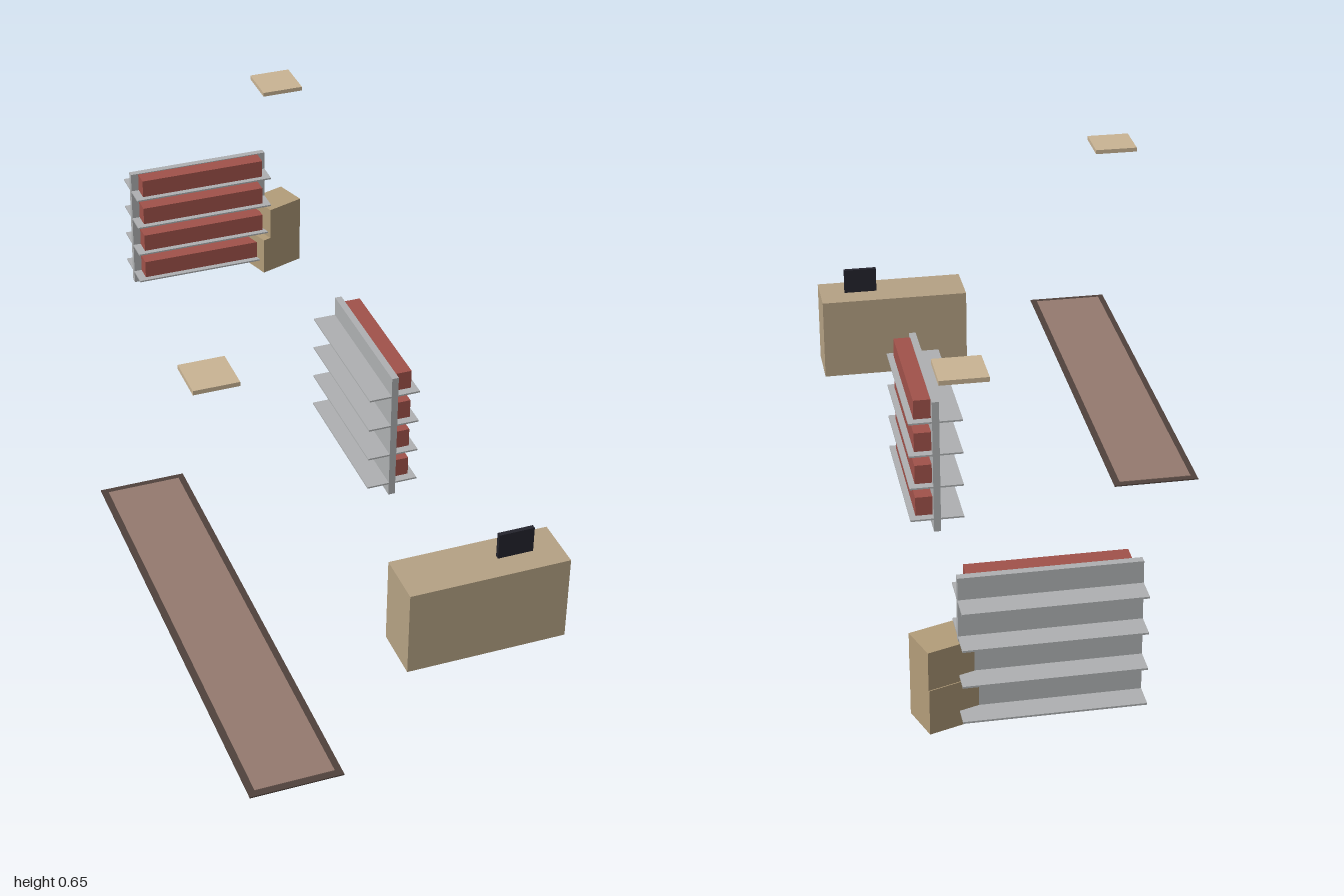
import * as THREE from 'three';

const mat = (name, color) => {
  const m = new THREE.MeshStandardMaterial({ color });
  m.name = name;
  return m;
};

export function createModel() {
  const model = new THREE.Group();
  const grey = mat('shelfGrey', 0xaeb0b2);
  const red = mat('goodsRed', 0xa0524a);
  const wood = mat('counterWood', 0xb5a284);
  const pale = mat('panelCream', 0xc9b494);
  const card = mat('cardboard', 0xb39d7a);
  const dark = mat('screenBlack', 0x23232c);
  const rugEdge = mat('rugBorder', 0x50423c);
  const rugMid = mat('rugCentre', 0x957a6f);

  // Box given its size, centre x/z and base height
  const box = (parent, name, material, w, h, d, x, y, z) => {
    const mesh = new THREE.Mesh(new THREE.BoxGeometry(w, h, d), material);
    mesh.name = name;
    mesh.position.set(x, y + h / 2, z);
    parent.add(mesh);
    return mesh;
  };

  // Rug with a dark border
  box(model, 'rugBorder', rugEdge, 0.2, 0.003, 1.07, -0.3, 0, 0.465);
  box(model, 'rugCentre', rugMid, 0.17, 0.002, 1.04, -0.3, 0.0025, 0.465);

  // Counter and its screen
  box(model, 'counter', wood, 0.365, 0.204, 0.122, 0.2175, 0, 0.694);
  box(model, 'screen', dark, 0.081, 0.061, 0.01, 0.2975, 0.204, 0.694);

  // Hanging ceiling panels
  box(model, 'ceilingPanel', pale, 0.1, 0.01, 0.1, -0.3, 0.641, 0.465);
  box(model, 'ceilingPanel', pale, 0.1, 0.01, 0.1, 0.257, 0.641, -0.704);

  // Shelf unit: central back panel, four through shelves, goods on the front side
  const shelfUnit = (name, x, z, turn) => {
    const unit = new THREE.Group();
    unit.name = name;
    box(unit, 'backPanel', grey, 0.365, 0.325, 0.016, 0, 0, 0);
    for (let i = 0; i < 4; i++) {
      const y = 0.03 + i * 0.081;
      box(unit, 'shelf', grey, 0.365, 0.004, 0.122, 0, y, 0);
      box(unit, 'goods', red, 0.326, 0.046, 0.039, 0, y + 0.004, 0.0275);
    }
    unit.position.set(x, 0, z);
    unit.rotation.y = turn;
    model.add(unit);
  };
  shelfUnit('middleShelfUnit', 0.236, -0.018, Math.PI / 2);
  shelfUnit('rearShelfUnit', 0.1225, -0.939, 0);

  // Two stacked cartons, turned slightly
  const cartons = new THREE.Group();
  cartons.name = 'cartons';
  box(cartons, 'lowerCarton', card, 0.121, 0.1, 0.085, 0, 0, 0);
  box(cartons, 'upperCarton', card, 0.1, 0.085, 0.083, 0.011, 0.1, 0.001);
  cartons.position.set(0.3235, 0, -0.9215);
  cartons.rotation.y = 0.32;
  model.add(cartons);

  return model;
}
